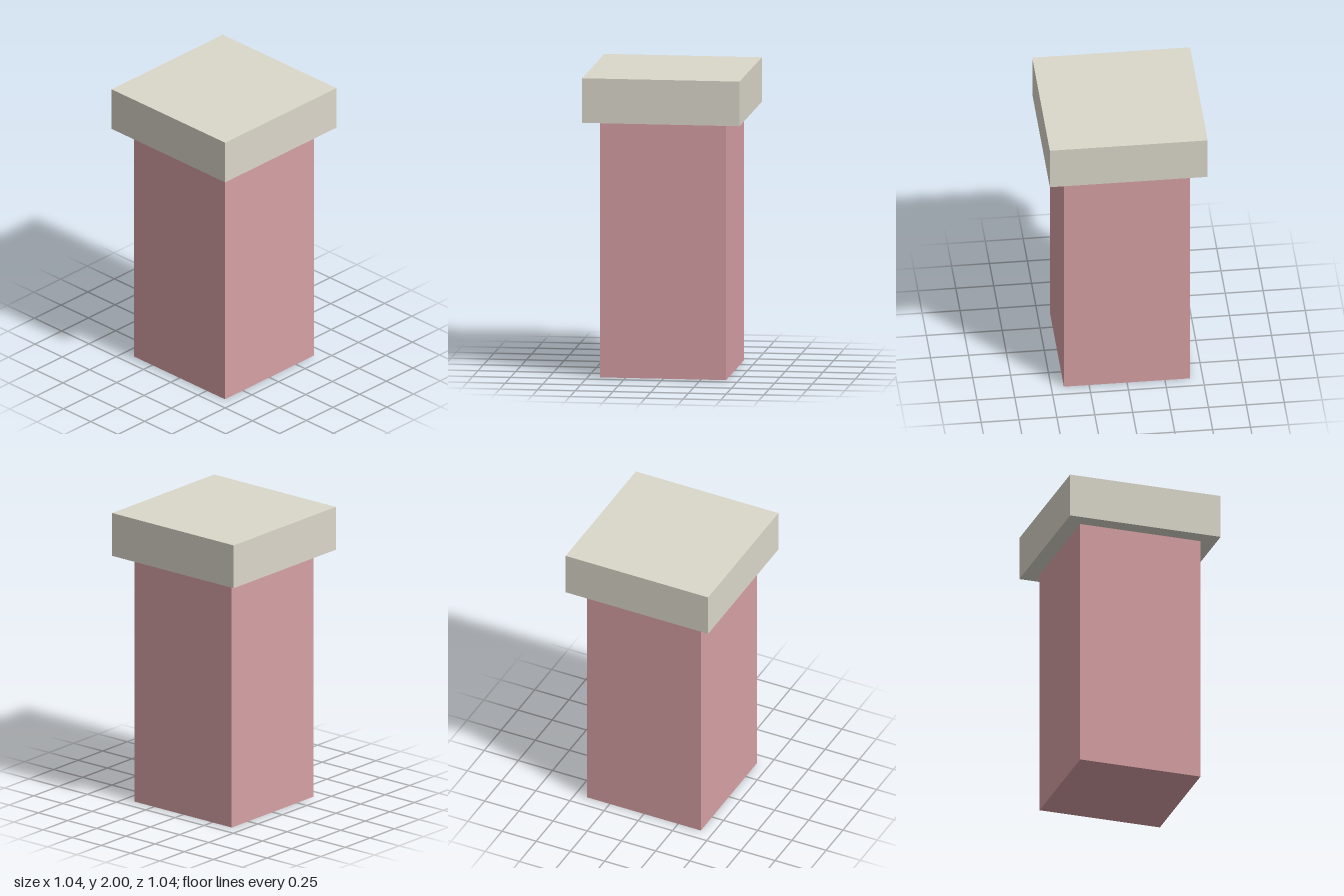
import * as THREE from 'three';

// Square block standing on height y
function block(name, width, height, y, color) {
  const mesh = new THREE.Mesh(
    new THREE.BoxGeometry(width, height, width),
    new THREE.MeshStandardMaterial({ color })
  );
  mesh.name = name;
  mesh.position.y = y + height / 2;
  return mesh;
}

export function createModel() {
  const pillar = new THREE.Group();
  pillar.name = 'pillar';

  const shaftHeight = 1.704;
  pillar.add(
    block('shaft', 0.833, shaftHeight, 0, 0xd6a0a4),
    // Overhanging slab on top
    block('cap', 1.042, 2 - shaftHeight, shaftHeight, 0xdbd7ca)
  );
  return pillar;
}
